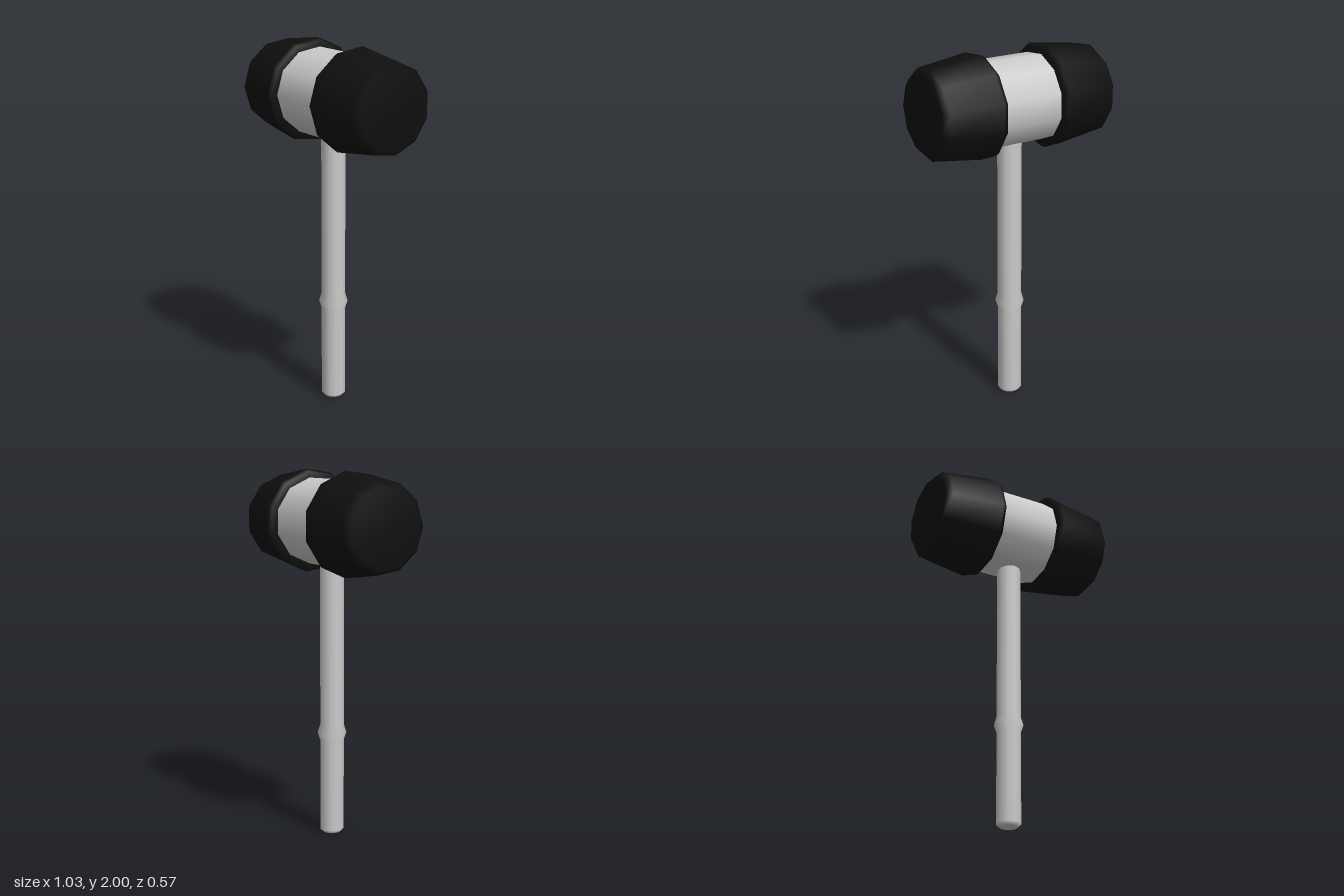
import * as THREE from 'three';

const SIDES = 11;
const HEAD_Y = 1.72;
const AXIS_Z = -0.006;

const metal = new THREE.MeshStandardMaterial({ color: 0xcccccc });
const rubber = new THREE.MeshStandardMaterial({ color: 0x0f0f0f });

// Turned part from [radius, height] pairs, with one corner facing +z
function turned(name, profile, material, squash = 1) {
  const points = profile.map(([r, y]) => new THREE.Vector2(r, y));
  const geometry = new THREE.LatheGeometry(points, SIDES);
  geometry.scale(squash, 1, 1);
  const mesh = new THREE.Mesh(geometry, material);
  mesh.name = name;
  return mesh;
}

export function createModel() {
  const mallet = new THREE.Group();
  mallet.name = 'mallet';

  // Handle with chamfered butt and a raised collar above the grip
  const handle = turned('handle', [
    [0, 0], [0.048, 0], [0.066, 0.018],
    [0.066, 0.525], [0.08, 0.567], [0.066, 0.612], [0.066, 1.6],
  ], metal);
  handle.position.z = AXIS_Z;
  mallet.add(handle);

  // Head lies along x, slightly flattened in height
  const head = new THREE.Group();
  head.name = 'head';
  head.position.set(0, HEAD_Y, AXIS_Z);
  mallet.add(head);

  const barrel = turned('barrel', [[0.2445, -0.2], [0.2445, 0.2]], metal, 0.968);
  barrel.rotation.z = -Math.PI / 2;
  head.add(barrel);

  // Tapered rubber faces, profile running from the inner rim to the striking end
  const capProfile = [
    [0.23, 0.172], [0.278, 0.172], [0.2915, 0.197],
    [0.25, 0.485], [0.216, 0.515], [0, 0.515],
  ];
  for (const side of [1, -1]) {
    const cap = turned(side > 0 ? 'leftFace' : 'rightFace', capProfile, rubber, 0.974);
    cap.rotation.z = -side * Math.PI / 2;
    head.add(cap);
  }

  return mallet;
}
